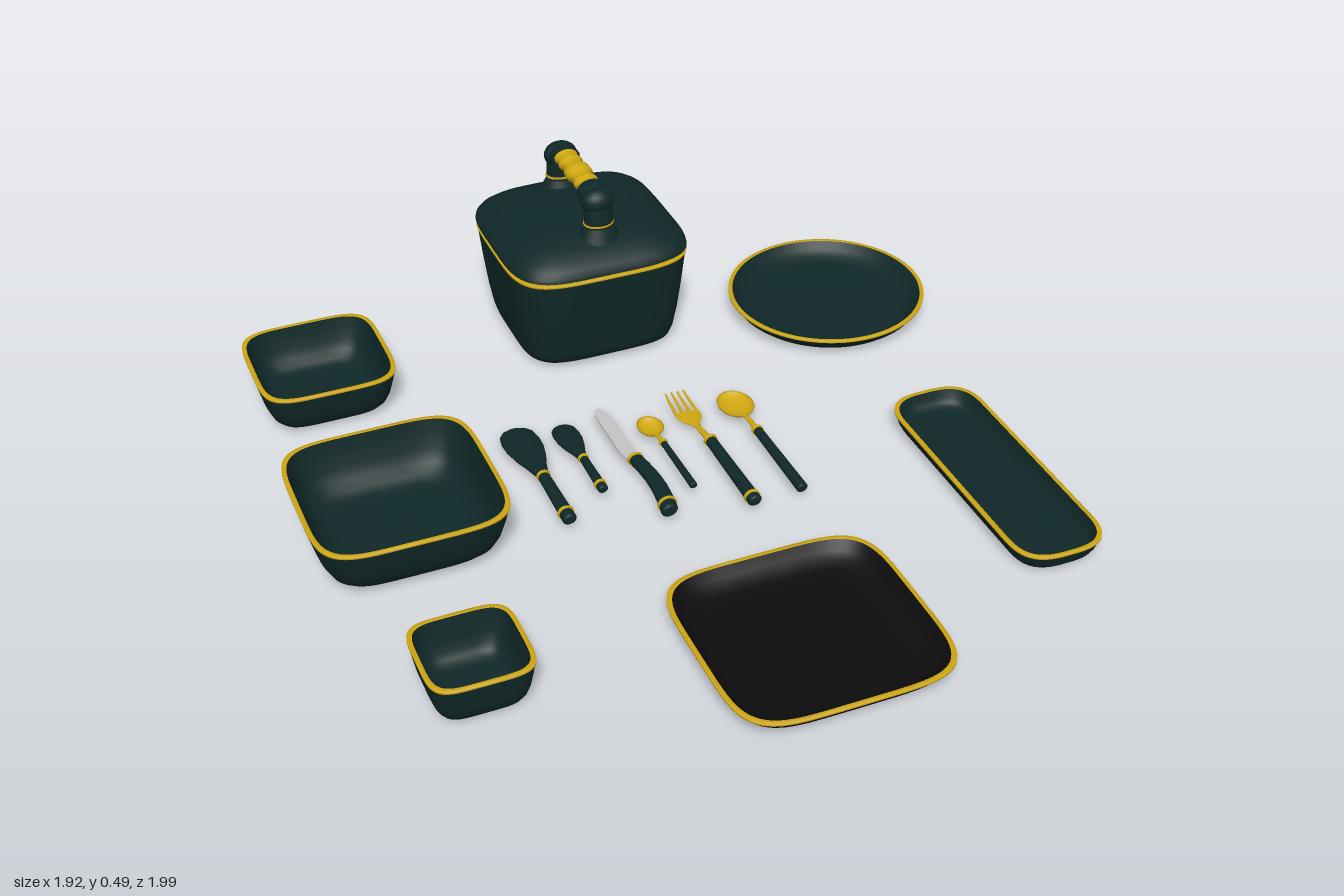
import * as THREE from 'three';

const mat = (name, color, side = THREE.FrontSide) => {
  const m = new THREE.MeshStandardMaterial({ color, side });
  m.name = name;
  return m;
};

// Skin a list of closed rings of points
function loft(rings) {
  const n = rings[0].length, index = [];
  for (let i = 0; i < rings.length - 1; i++) {
    for (let j = 0; j < n; j++) {
      const k = (j + 1) % n, a = i * n + j, b = i * n + k, c = b + n, d = a + n;
      index.push(a, d, c, a, c, b);
    }
  }
  const g = new THREE.BufferGeometry();
  g.setAttribute('position', new THREE.Float32BufferAttribute(rings.flat(2), 3));
  g.setIndex(index);
  g.computeVertexNormals();
  return g;
}

// Rounded-square vessel surface; profile = [half width, y], n = squareness, ext = extra half length in z
function vessel(profile, n, ext = 0) {
  const N = 96, pw = v => Math.sign(v) * Math.abs(v) ** (2 / n);
  return loft(profile.map(([r, y]) => Array.from({ length: N }, (_, j) => {
    const t = j / N * Math.PI * 2, s = Math.sin(t);
    return [r * pw(Math.cos(t)), y, r * pw(s) + Math.sign(s) * ext];
  })));
}

// Bar along z with elliptical sections; stations = [z, half width, half height, y, x]
function bar(stations, N = 18) {
  const ring = ([z, w, h, y = 0, x = 0]) => Array.from({ length: N }, (_, j) => {
    const t = j / N * Math.PI * 2;
    return [x + w * Math.cos(t), y - h * Math.sin(t), z];
  });
  const first = stations[0], last = stations[stations.length - 1];
  const tip = ([z, , , y, x]) => [z, 0, 0, y, x];
  return loft([tip(first), first, ...stations, last, tip(last)].map(ring));
}

export function createModel() {
  const green = mat('dark green', 0x102828);
  const black = mat('black', 0x0d0d0d);
  const gold = mat('gold', 0xd0a812, THREE.DoubleSide);
  const silver = mat('silver', 0xc4c4c4);

  const model = new THREE.Group();
  model.name = 'tablewareSet';
  const group = (name, x, z) => {
    const g = new THREE.Group();
    g.name = name;
    g.position.set(x, 0, z);
    model.add(g);
    return g;
  };
  const add = (parent, name, geometry, material) => {
    const m = new THREE.Mesh(geometry, material);
    m.name = name;
    parent.add(m);
    return m;
  };

  // Dishes: outer shell, gold rim and inside
  function dish(name, x, z, r, h, shape, material, n, ext = 0) {
    const g = group(name, x, z), w = 0.009, rim = 0.006;
    const outer = shape.map(([a, b]) => [r * a, (h - rim) * b]);
    const inner = shape.slice().reverse().map(([a, b]) => [Math.max(0, r * a - w), 0.012 + (h - 0.012) * b]);
    add(g, 'shell', vessel(outer, n, ext), material);
    add(g, 'rim', vessel([[r, h - rim], [r + 0.002, h - rim], [r + 0.002, h], [r - w, h], [r - w, h - 0.004]], n, ext), gold);
    add(g, 'inside', vessel(inner, n, ext), material);
    return g;
  }
  const bowlShape = [[0, 0], [0.55, 0], [0.68, 0.03], [0.78, 0.1], [0.86, 0.24], [0.92, 0.45], [0.97, 0.75], [1, 1]];
  const plateShape = [[0, 0], [0.7, 0], [0.8, 0.06], [0.88, 0.22], [0.94, 0.5], [1, 1]];
  dish('backBowl', -0.74, -0.66, 0.177, 0.125, bowlShape, green, 4.8);
  dish('largeBowl', -0.72, -0.02, 0.238, 0.15, bowlShape, green, 5);
  dish('smallBowl', -0.725, 0.57, 0.122, 0.12, bowlShape, green, 4.8);
  dish('roundPlate', 0.683, -0.555, 0.271, 0.053, plateShape, green, 2);
  dish('squarePlate', 0.017, 0.718, 0.273, 0.053, plateShape, black, 5);
  dish('oblongTray', 0.695, 0.363, 0.118, 0.053, plateShape, green, 3, 0.243);

  // Casserole pot
  const potShape = [[0, 0], [0.68, 0], [0.78, 0.02], [0.85, 0.06], [0.88, 0.14], [0.92, 0.35], [0.96, 0.65], [1, 1]];
  const pot = dish('pot', 0.025, -0.745, 0.249, 0.281, potShape, green, 4.4);
  add(pot, 'lidUnderside', vessel([[0, 0.291], [0.252, 0.291]], 4.4), green);
  add(pot, 'lid', vessel([[0.252, 0.291], [0.25, 0.3], [0.24, 0.314], [0.22, 0.33], [0.19, 0.345],
    [0.15, 0.357], [0.1, 0.364], [0, 0.367]], 4.4), green);

  // Lid handle: two bent posts with feet and a segmented grip
  for (const s of [1, -1]) {
    const path = new THREE.CatmullRomCurve3([[0.145, 0.35], [0.145, 0.41], [0.138, 0.442], [0.118, 0.458], [0.096, 0.46]]
      .map(([z, y]) => new THREE.Vector3(0, y, s * z)));
    add(pot, 'handlePost', new THREE.TubeGeometry(path, 24, 0.031, 20), green).scale.x = 1.25;
    const elbow = add(pot, 'handleElbow', new THREE.SphereGeometry(0.036, 20, 14), green);
    elbow.position.set(0, 0.452, s * 0.14);
    elbow.scale.set(1.28, 1, 1);
    const end = add(pot, 'handleCollar', new THREE.CylinderGeometry(0.032, 0.032, 0.012, 20), green);
    end.position.set(0, 0.46, s * 0.1);
    end.rotation.x = Math.PI / 2;
    end.scale.x = 1.25;
    const foot = add(pot, 'handleFoot', new THREE.CylinderGeometry(0.033, 0.05, 0.04, 24), green);
    foot.position.set(0, 0.362, s * 0.145);
    foot.scale.x = 1.2;
    const ring = add(pot, 'postRing', new THREE.CylinderGeometry(0.033, 0.033, 0.005, 24), gold);
    ring.position.set(0, 0.39, s * 0.145);
    ring.scale.x = 1.25;
  }
  const half = [[0, 0.028], [0.014, 0.028], [0.022, 0.022], [0.045, 0.021], [0.052, 0.026], [0.062, 0.026],
    [0.068, 0.022], [0.082, 0.023], [0.1, 0.027]];
  const grip = [...half.slice(1).reverse().map(([z, r]) => [-z, r]), ...half];
  add(pot, 'handleGrip', bar(grip.map(([z, r]) => [z, r * 1.3, r * 0.92, 0.464]), 24), gold);

  // Cutlery handle from z0 to z1 with gold bands
  function handle(g, z0, z1, w, bands, bend = 0) {
    const L = z1 - z0, y = 0.036;
    const x = t => bend * Math.sin(t * Math.PI);
    const width = t => w * (0.82 + 0.18 * t);
    const at = t => [z0 + L * t, width(t), width(t) * 0.9, y, x(t)];
    const tip = [1, 0.7].map((k, i) => [z1 + i * w * 0.3, w * k, w * 0.9 * k, y, 0]);
    add(g, 'handle', bar([...[0, 0.2, 0.4, 0.6, 0.8].map(at), ...tip]), green);
    for (const t of bands) {
      const [z, a, b, , bx] = at(t);
      add(g, 'handleBand', bar([[z - 0.004, a + 0.003, b + 0.003, y, bx], [z + 0.004, a + 0.003, b + 0.003, y, bx]]), gold);
    }
  }

  // Serving spatulas
  function spatula(name, x, z0, neck, z1, headW, w) {
    const g = group(name, x, 0), L = neck - z0;
    const rows = [[0, 0.3, 0.004], [0.03, 0.62, 0.007], [0.1, 0.88, 0.009], [0.25, 1, 0.01], [0.42, 0.97, 0.011],
      [0.62, 0.78, 0.012], [0.8, 0.52, 0.012], [1, w / headW * 0.85, w * 0.8]];
    add(g, 'head', bar(rows.map(([t, k, h]) => [z0 + t * L, headW * k, h, 0.024 + 0.012 * t * t])), green);
    handle(g, neck, z1, w, [0.02, 0.86]);
  }
  spatula('largeSpatula', -0.337, -0.287, -0.06, 0.13, 0.05, 0.018);
  spatula('smallSpatula', -0.22, -0.255, -0.09, 0.05, 0.035, 0.013);

  // Knife
  const knife = group('knife', -0.102, 0);
  const blade = new THREE.Shape();
  blade.moveTo(-0.016, 0.03);
  blade.lineTo(-0.026, 0.07);
  blade.lineTo(-0.026, 0.25);
  blade.quadraticCurveTo(-0.022, 0.272, -0.004, 0.272);
  blade.quadraticCurveTo(0.01, 0.25, 0.012, 0.2);
  blade.lineTo(0.013, 0.03);
  const bladeGeo = new THREE.ExtrudeGeometry(blade, { depth: 0.005, bevelEnabled: false, curveSegments: 8 });
  bladeGeo.rotateX(-Math.PI / 2).translate(0, 0.033, 0);
  add(knife, 'blade', bladeGeo, silver);
  handle(knife, -0.038, 0.19, 0.022, [0.02, 0.9], 0.012);

  // Spoons: hollow oval bowl on a thin neck
  function spoon(name, x, z0, bowlL, bowlW, neck, z1, w) {
    const g = group(name, x, 0);
    const cup = new THREE.SphereGeometry(1, 28, 10, 0, Math.PI * 2, Math.PI / 2, Math.PI / 2);
    cup.scale(bowlW, 0.018, bowlL).translate(0, 0.031, z0 + bowlL);
    add(g, 'spoonBowl', cup, gold);
    const zb = z0 + 2 * bowlL;
    add(g, 'neck', bar([[zb - 0.006, 0.009, 0.003, 0.03], [zb + 0.01, 0.006, 0.004, 0.034], [neck + 0.005, w * 0.6, 0.007, 0.036]]), gold);
    handle(g, neck, z1, w, [0.02]);
  }
  spoon('smallSpoon', -0.01, -0.203, 0.043, 0.034, -0.075, 0.122, 0.01);
  spoon('largeSpoon', 0.232, -0.226, 0.06, 0.047, -0.035, 0.233, 0.015);

  // Fork
  const fork = group('fork', 0.104, 0);
  const top = z => 0.032 - 0.012 * Math.sin((z + 0.275) / 0.2 * Math.PI);
  add(fork, 'palm', bar([[-0.192, 0.033, 0.003], [-0.17, 0.033, 0.004], [-0.15, 0.026, 0.004], [-0.132, 0.013, 0.004],
    [-0.115, 0.007, 0.004], [-0.035, 0.011, 0.007]].map(([z, w, h]) => [z, w, h, Math.min(0.036, top(z) + (z > -0.1 ? 0.008 : 0))])), gold);
  for (let i = 0; i < 4; i++) {
    const u = i - 1.5;
    add(fork, 'tine', bar([-0.273, -0.25, -0.22, -0.185].map((z, k) =>
      [z, 0.0025 + k * 0.0009, 0.003, top(z), u * (0.0165 + k * 0.0008)]), 8), gold);
  }
  handle(fork, -0.04, 0.235, 0.018, [0.02, 0.94]);

  return model;
}
